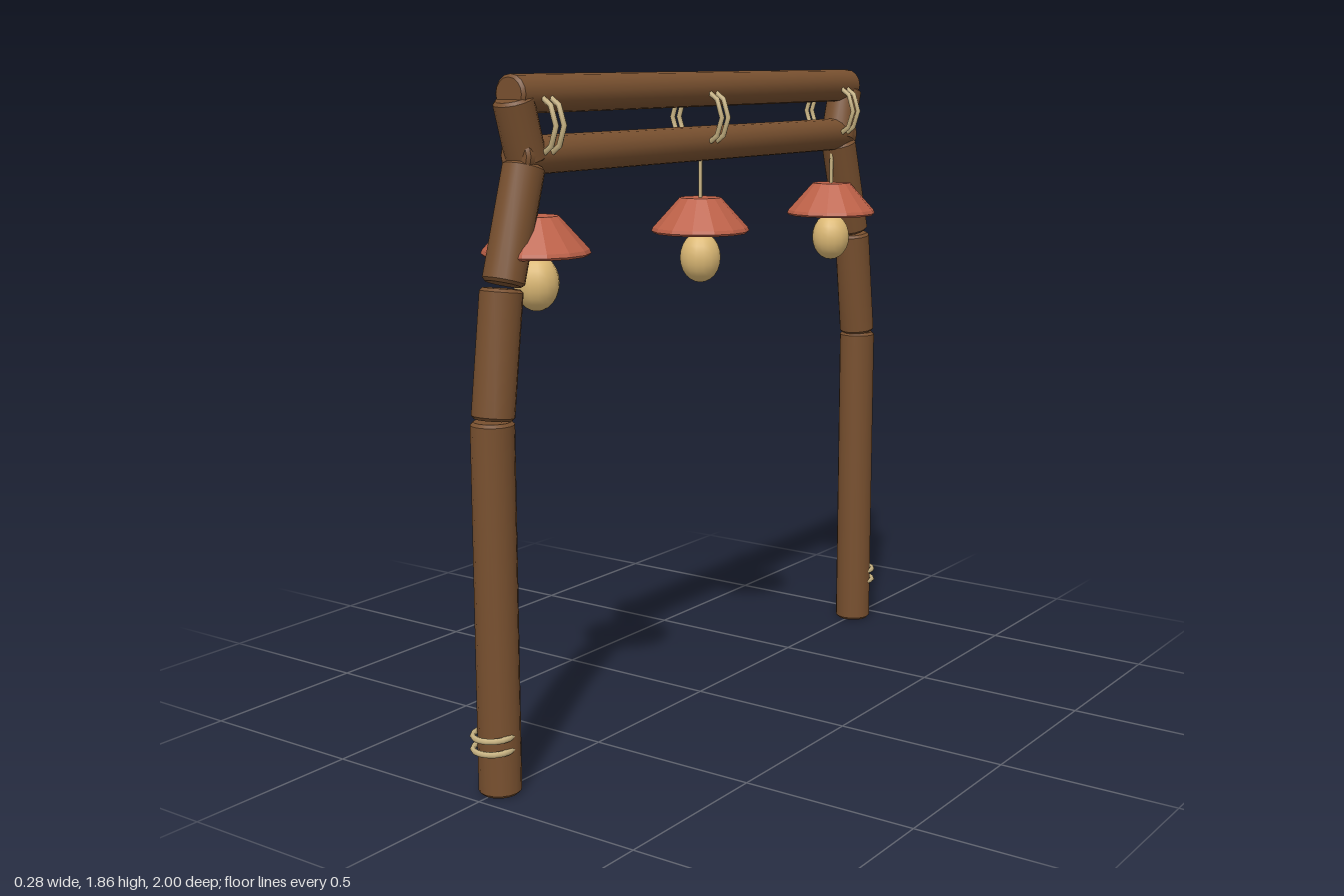
import * as THREE from 'three';
import { toCreasedNormals } from 'three/addons/utils/BufferGeometryUtils.js';

const material = (name, color) => new THREE.MeshStandardMaterial({ name, color });

export function createModel() {
  const wood = material('brown wood', 0x78502f);
  const rope = material('pale rope', 0xc9b483);
  const clay = material('terracotta', 0xbd6148);
  const glow = material('warm glass', 0xdcb975);
  const model = new THREE.Group();
  model.name = 'lanternArch';

  const add = (parent, name, geometry, mat, x = 0, y = 0, z = 0) => {
    const mesh = new THREE.Mesh(geometry, mat);
    mesh.name = name;
    mesh.position.set(x, y, z);
    parent.add(mesh);
    return mesh;
  };

  // Round log with chamfered ends, laid between two points (z, y) in the x = 0 plane
  const log = (parent, name, [z0, y0], [z1, y1], r) => {
    const a = new THREE.Vector3(0, y0, z0);
    const dir = new THREE.Vector3(0, y1, z1).sub(a);
    const len = dir.length(), c = 0.008;
    const profile = [[0, 0], [r - c, 0], [r, c], [r, len - c], [r - c, len], [0, len]]
      .map(([px, py]) => new THREE.Vector2(px, py));
    const geometry = toCreasedNormals(new THREE.LatheGeometry(profile, 16), 0.5);
    const mesh = add(parent, name, geometry, wood, 0, y0, z0);
    mesh.quaternion.setFromUnitVectors(new THREE.Vector3(0, 1, 0), dir.normalize());
    return mesh;
  };

  // Two beams along z
  log(model, 'upperBeam', [-0.83, 1.806], [0.83, 1.806], 0.05);
  log(model, 'lowerBeam', [-0.815, 1.652], [0.815, 1.652], 0.05);

  // A bent leg at each end, bound with rope near the foot
  for (const s of [1, -1]) {
    const leg = new THREE.Group();
    leg.name = s > 0 ? 'frontLeg' : 'backLeg';
    model.add(leg);
    log(leg, 'post', [s * 0.916, 0], [s * 0.916, 0.992], 0.057);
    log(leg, 'lowerBend', [s * 0.914, 0.995], [s * 0.871, 1.325], 0.056);
    log(leg, 'upperBend', [s * 0.865, 1.335], [s * 0.775, 1.63], 0.055);
    log(leg, 'brace', [s * 0.765, 1.635], [s * 0.815, 1.797], 0.053);
    for (const y of [0.129, 0.165]) {
      const ring = add(leg, 'footRope', new THREE.TorusGeometry(0.053, 0.008, 6, 16), rope, 0, y, s * 0.94);
      ring.rotation.x = Math.PI / 2;
    }
  }

  // Rope lashings with a hanging lamp below each
  const shadeProfile = [[0, 0], [0.136, 0], [0.142, 0.006], [0.138, 0.016], [0.06, 0.102], [0, 0.102]]
    .map(([px, py]) => new THREE.Vector2(px, py));
  const shadeGeometry = toCreasedNormals(new THREE.LatheGeometry(shadeProfile, 14), 0.2);
  const bulbGeometry = new THREE.SphereGeometry(0.06, 16, 12).scale(1, 1.22, 1);
  for (const z of [-0.735, 0, 0.735]) {
    const lamp = new THREE.Group();
    lamp.name = 'hangingLamp';
    lamp.position.z = z;
    model.add(lamp);
    for (const dz of [-0.016, 0.016]) {
      add(lamp, 'beamLashing', new THREE.TorusGeometry(0.086, 0.008, 6, 10), rope, 0, 1.727, dz);
    }
    add(lamp, 'cord', new THREE.CylinderGeometry(0.006, 0.006, 0.16, 8), rope, 0, 1.56, 0);
    add(lamp, 'shade', shadeGeometry, clay, 0, 1.396, 0);
    add(lamp, 'bulb', bulbGeometry, glow, 0, 1.325, 0);
  }
  return model;
}
